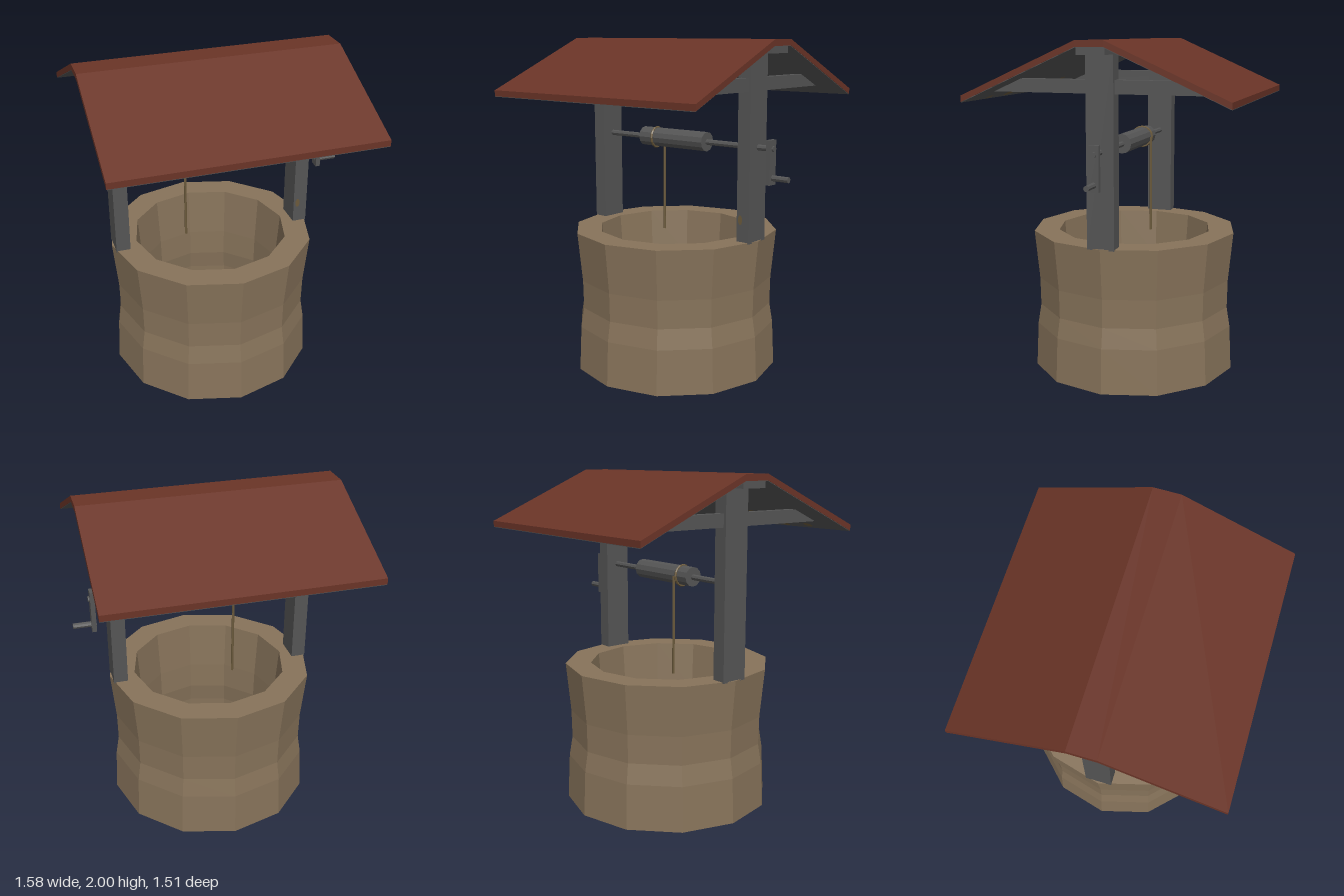
import * as THREE from 'three';

const flat = (name, color) => {
  const m = new THREE.MeshStandardMaterial({ color, flatShading: true, side: THREE.DoubleSide });
  m.name = name;
  return m;
};

export function createModel() {
  const stone = flat('stone', 0x87735a);
  const wood = flat('greyWood', 0x555555);
  const tile = flat('roofRed', 0x6a3427);
  const ropeMat = flat('rope', 0x6b5a3c);

  const model = new THREE.Group();
  model.name = 'well';
  const add = (name, geo, mat, x = 0, y = 0, z = 0) => {
    const mesh = new THREE.Mesh(geo, mat);
    mesh.name = name;
    mesh.position.set(x, y, z);
    model.add(mesh);
    return mesh;
  };
  const box = (name, x0, x1, y0, y1, z0, z1, mat) =>
    add(name, new THREE.BoxGeometry(x1 - x0, y1 - y0, z1 - z0), mat, (x0 + x1) / 2, (y0 + y1) / 2, (z0 + z1) / 2);
  // rod lying along x
  const rod = (name, x0, x1, r, y, sides) =>
    add(name, new THREE.CylinderGeometry(r, r, x1 - x0, sides).rotateZ(Math.PI / 2), wood, (x0 + x1) / 2, y, 0);
  // outline given as [z, y], pushed out along x
  const slab = (name, pts, x0, x1, mat) => {
    const shape = new THREE.Shape(pts.map(([z, y]) => new THREE.Vector2(-z, y)));
    const geo = new THREE.ExtrudeGeometry(shape, { depth: x1 - x0, bevelEnabled: false });
    return add(name, geo.rotateY(Math.PI / 2), mat, x0);
  };

  // Twelve-sided stone ring, open through the middle
  const ring = [
    [0.455, 0], [0.625, 0], [0.612, 0.27], [0.592, 0.39], [0.595, 0.56], [0.623, 0.857],
    [0.47, 0.857], [0.447, 0.56], [0.442, 0.39], [0.455, 0.27], [0.455, 0],
  ].map(([r, y]) => new THREE.Vector2(r, y));
  add('stoneWall', new THREE.LatheGeometry(ring, 12), stone, -0.03);

  // Posts with a cross brace through each
  for (const [side, x] of [['right', -0.5975], ['left', 0.5375]]) {
    box(side + 'Post', x - 0.0425, x + 0.0425, 0.85, 1.963, -0.08, 0.08, wood);
    slab(side + 'Brace', [[-0.64, 1.715], [0.64, 1.715], [0.474, 1.79], [-0.474, 1.79]], x - 0.025, x + 0.025, wood);
  }
  box('ridgeBeam', -0.77, 0.71, 1.925, 1.963, -0.08, 0.08, wood);

  // Roof slab and its grey lining
  const under = [[0.755, 1.665], [0.08, 1.965], [-0.08, 1.965], [-0.755, 1.665]];
  slab('roof', [[-0.755, 1.7], [-0.08, 2], [0.08, 2], [0.755, 1.7], ...under], -0.79, 0.73, tile);
  const lower = under.map(([z, y]) => [z, y - 0.003]).reverse();
  slab('roofLining', [...under, ...lower], -0.787, 0.727, wood);

  // Worn patches on the lining and a post
  const pitch = Math.atan2(0.3, 0.675);
  const patches = [
    [0.25, 0.69, 0.05], [-0.19, 0.55, 0.03], [-0.31, 0.71, 0.035], [-0.51, 0.7, 0.03],
    [0.46, 0.72, 0.025], [-0.2, -0.25, 0.035], [-0.55, -0.35, 0.025],
  ];
  for (const [x, z, r] of patches) {
    const y = 1.965 - (Math.abs(z) - 0.08) * 0.444 - 0.006;
    const patch = add('wornPatch', new THREE.CircleGeometry(r, 7).rotateX(Math.PI / 2), ropeMat, x, y, z);
    patch.rotation.x = Math.sign(z) * pitch;
  }
  const postPatch = add('postPatch', new THREE.CircleGeometry(0.03, 7), ropeMat, 0.52, 0.985, 0.082);
  postPatch.scale.x = 0.5;

  // Windlass: axle, drum, crank and handle
  rod('axle', -0.57, 0.69, 0.017, 1.4, 8);
  rod('drum', -0.275, 0.215, 0.058, 1.402, 12);
  box('crankArm', 0.653, 0.68, 1.195, 1.45, -0.03, 0.03, wood);
  rod('crankHandle', 0.65, 0.787, 0.017, 1.235, 8);

  // Rope wound on the drum and hanging into the well
  const loop = add('ropeLoop', new THREE.TorusGeometry(0.06, 0.008, 6, 16).rotateY(Math.PI / 2), ropeMat, -0.178, 1.4, 0);
  loop.rotation.y = 0.12;
  add('hangingRope', new THREE.CylinderGeometry(0.008, 0.008, 0.59, 6), ropeMat, -0.168, 1.105, -0.06);

  return model;
}
